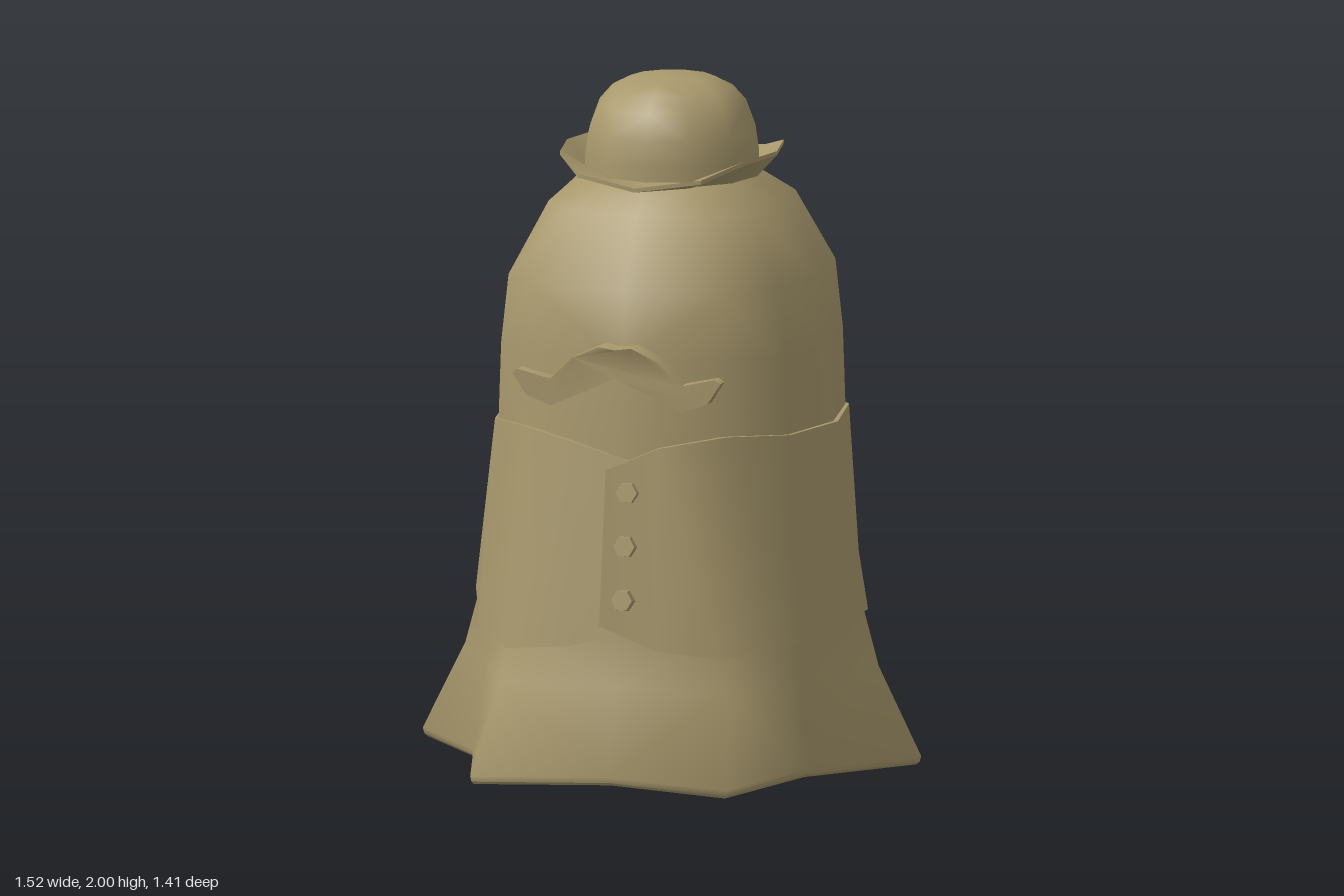
import * as THREE from 'three';
import { toCreasedNormals } from 'three/addons/utils/BufferGeometryUtils.js';

const material = new THREE.MeshStandardMaterial({ color: 0xa8986c, side: THREE.DoubleSide });

function addMesh(parent, name, geometry, crease = 0.6) {
  const mesh = new THREE.Mesh(toCreasedNormals(geometry, crease), material);
  mesh.name = name;
  parent.add(mesh);
  return mesh;
}

// Skin a list of rings of [x, y, z] points, counter-clockwise seen from above.
function loft(rings, closedRing = true) {
  const pos = [];
  const dist = (a, b) => Math.hypot(a[0] - b[0], a[1] - b[1], a[2] - b[2]);
  const tri = (a, b, c) => {
    if (Math.min(dist(a, b), dist(b, c), dist(a, c)) > 1e-6) pos.push(...a, ...b, ...c);
  };
  // Split along the shorter diagonal so that mirrored faces match
  const quad = (a, b, c, d) => {
    if (dist(a, c) < dist(b, d)) { tri(a, b, c); tri(a, c, d); }
    else { tri(a, b, d); tri(b, c, d); }
  };
  const n = rings[0].length;
  for (let i = 0; i < rings.length - 1; i++) {
    for (let j = 0; j < (closedRing ? n : n - 1); j++) {
      const k = (j + 1) % n;
      quad(rings[i][j], rings[i][k], rings[i + 1][k], rings[i + 1][j]);
    }
  }
  // End faces of an open band with a four-cornered section
  if (!closedRing) {
    const end = (j) => rings.slice(0, 4).map((r) => r[j]);
    quad(...end(0));
    quad(...end(n - 1).reverse());
  }
  const geo = new THREE.BufferGeometry();
  geo.setAttribute('position', new THREE.Float32BufferAttribute(pos, 3));
  geo.computeVertexNormals();
  return geo;
}

// Twelve-point ring mirrored from one quadrant:
// (x0, 0), (x1, z1), (x2, z2), (0, z3), with one height or four
function ring(y, x0, x1, z1, x2, z2, z3) {
  const [a, b, c, d] = Array.isArray(y) ? y : [y, y, y, y];
  return [
    [x0, a, 0], [x1, b, -z1], [x2, c, -z2], [0, d, -z3],
    [-x2, c, -z2], [-x1, b, -z1], [-x0, a, 0], [-x1, b, z1],
    [-x2, c, z2], [0, d, z3], [x2, c, z2], [x1, b, z1],
  ];
}
const round = (y, r) => ring(y, r, r * 0.866, r * 0.5, r * 0.5, r * 0.866, r);
const point = (y) => ring(y, 0, 0, 0, 0, 0, 0);

// Star-shaped hem that rounds off towards the shoulders
const hem = ring(0.008, 0.755, 0.505, 0.298, 0.388, 0.7, 0.6);
const bodyRings = [
  hem,
  ring(0.025, 0.76, 0.51, 0.3, 0.39, 0.705, 0.605),
  ring(0.285, 0.63, 0.478, 0.28, 0.345, 0.563, 0.558),
  ring(0.45, 0.585, 0.472, 0.272, 0.328, 0.5, 0.532),
  ring(1.0, 0.492, 0.441, 0.275, 0.306, 0.44, 0.505),
  ring(1.23, 0.472, 0.434, 0.272, 0.303, 0.438, 0.487),
  ring(1.43, 0.44, 0.414, 0.264, 0.293, 0.422, 0.455),
  ring(1.64, 0.335, 0.314, 0.195, 0.212, 0.324, 0.345),
  round(1.71, 0.26),
];

function createVest() {
  // Columns from the front flap round to the centre back: top point, bottom point
  const half = [
    [[-0.03, 0.92, 0.54], [-0.03, 0.47, 0.602]],
    [[0.12, 0.985, 0.505], [0.13, 0.4, 0.572]],
    [[0.31, 1.02, 0.45], [0.328, 0.38, 0.552]],
    [[0.45, 1.005, 0.281], [0.495, 0.4, 0.29]],
    [[0.506, 1.0, 0], [0.598, 0.45, 0]],
    [[0.45, 1.0, -0.281], [0.488, 0.44, -0.282]],
    [[0.314, 1.0, -0.451], [0.338, 0.455, -0.509]],
    [[0, 1.0, -0.52], [0, 0.57, -0.553]],
  ];
  const mirrored = half.slice(1, -1).reverse()
    .map((col) => col.map(([x, y, z]) => [-x, y, z]));
  // The right panel tucks under the flap
  const under = [[0.03, 0.945, 0.516], [0.03, 0.45, 0.576]];
  const cols = [...half, ...mirrored, under];
  const top = cols.map((c) => c[0]);
  const bottom = cols.map((c) => c[1]);
  const inset = (r) => r.map(([x, y, z]) => [x * 0.972, y, z * 0.972]);
  return loft([inset(bottom), bottom, top, inset(top), inset(bottom)], false);
}

function createMoustache() {
  const right = [[0.05, 1.284], [0.13, 1.247], [0.2, 1.18], [0.3, 1.203],
    [0.318, 1.192], [0.278, 1.13], [0.2, 1.1], [0.05, 1.17]];
  const left = right.map(([x, y]) => [-x, y]).reverse();
  const outline = [[0, 1.277], ...right, [0, 1.193], ...left];
  const shape = new THREE.Shape(outline.map(([x, y]) => new THREE.Vector2(x, y)));
  const geo = new THREE.ExtrudeGeometry(shape, { depth: 0.078, bevelEnabled: false });
  // Thinner towards the tips and the lower edge
  const p = geo.attributes.position;
  for (let i = 0; i < p.count; i++) {
    const thin = 1 - 1.4 * Math.abs(p.getX(i)) - 0.8 * Math.max(0, 1.25 - p.getY(i));
    p.setZ(i, 0.511 + (p.getZ(i) - 0.039) * thin);
  }
  geo.computeVertexNormals();
  return geo;
}

function createHat() {
  const hat = new THREE.Group();
  hat.name = 'hat';
  const crown = [[0.258, 1.71], [0.258, 1.77], [0.248, 1.84], [0.22, 1.915],
    [0.18, 1.96], [0.125, 1.988], [0.06, 1.998]];
  addMesh(hat, 'hatCrown', loft([...crown.map(([r, y]) => round(y, r)), point(2)]), 0.9);
  // Brim rolled up at the sides
  const edge = (dy) => ring([1.775, 1.775, 1.735, 1.71].map((y) => y + dy),
    0.32, 0.282, 0.185, 0.188, 0.31, 0.362);
  addMesh(hat, 'hatBrim', loft([point(1.705), round(1.705, 0.255), edge(0), edge(0.012),
    round(1.722, 0.25)]));
  return hat;
}

export function createModel() {
  const model = new THREE.Group();
  model.name = 'bellFigure';
  addMesh(model, 'body', loft(bodyRings), 3.1);
  const sole = ring(0, 0.745, 0.497, 0.294, 0.383, 0.692, 0.592);
  addMesh(model, 'base', loft([point(0), sole, hem]), 0.5);
  addMesh(model, 'vest', createVest(), 1);
  addMesh(model, 'moustache', createMoustache(), 0.9);
  model.add(createHat());

  // Hexagonal buttons following the slope of the flap
  const buttons = new THREE.Group();
  buttons.name = 'buttons';
  [0.855, 0.7, 0.545].forEach((y) => {
    const geo = new THREE.CylinderGeometry(0.032, 0.035, 0.03, 6);
    geo.rotateY(Math.PI / 6).rotateX(Math.PI / 2 - 0.13);
    const button = addMesh(buttons, 'button', geo);
    button.position.set(0.035, y, 0.532 + (0.855 - y) * 0.15);
  });
  model.add(buttons);
  return model;
}
